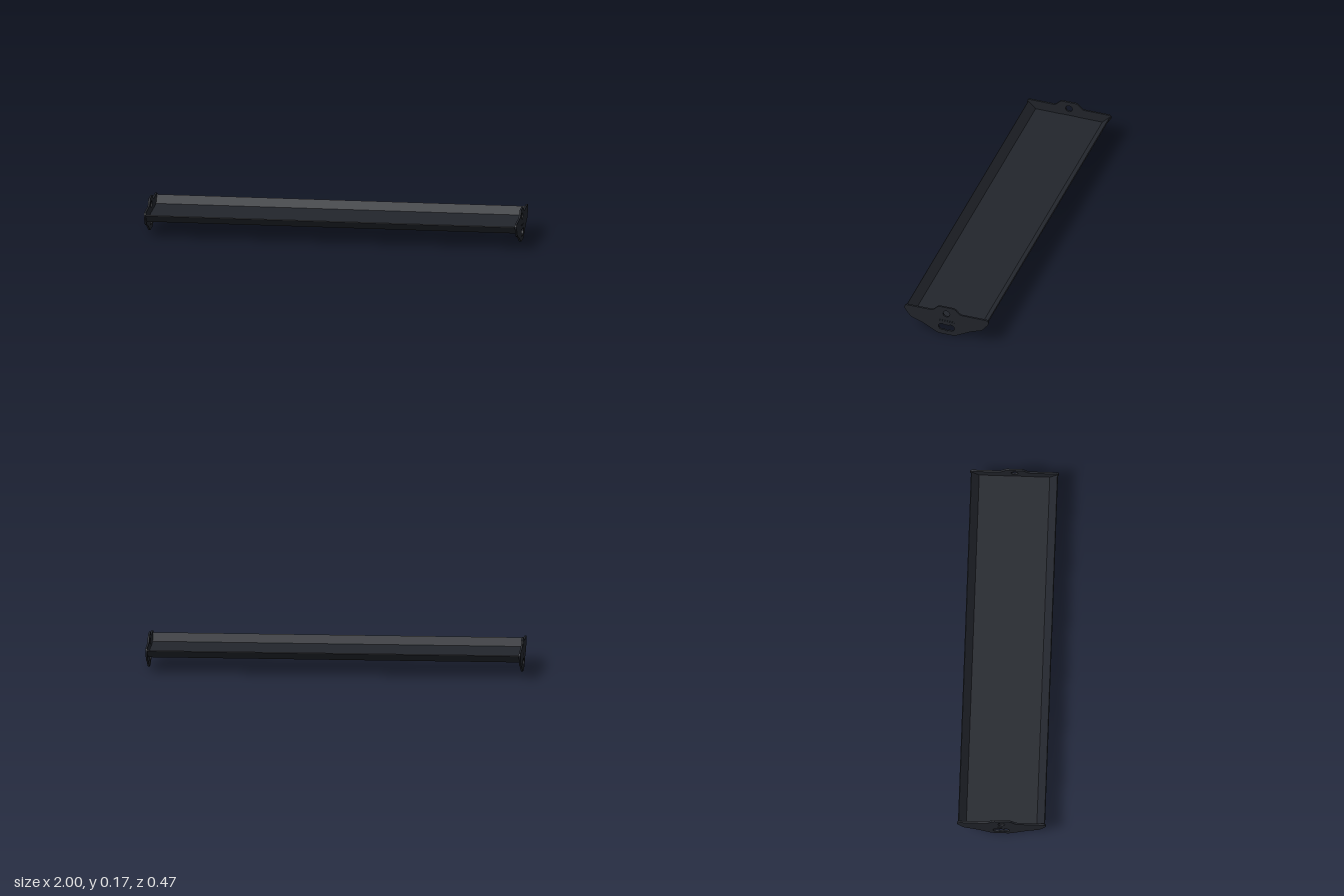
import * as THREE from 'three';
import { toCreasedNormals } from 'three/addons/utils/BufferGeometryUtils.js';

const material = new THREE.MeshStandardMaterial({ color: 0x22252c });
const PLATE = 0.01; // end plate thickness
const SHEET = { bottom: 0.0842, top: 0.0898 };

// Closed path through [z, y, cornerLength] points, each corner rounded off
function roundedOutline(points) {
  const shape = new THREE.Shape();
  const n = points.length;
  points.forEach(([x, y, r], i) => {
    const p = new THREE.Vector2(x, y);
    const toward = ([a, b]) => new THREE.Vector2(a - x, b - y).setLength(r).add(p);
    const start = toward(points[(i + n - 1) % n]);
    const end = toward(points[(i + 1) % n]);
    if (i === 0) shape.moveTo(start.x, start.y);
    else shape.lineTo(start.x, start.y);
    shape.quadraticCurveTo(x, y, end.x, end.y);
  });
  shape.closePath();
  return shape;
}

function polygon(points, Type = THREE.Shape) {
  return new Type(points.map(([x, y]) => new THREE.Vector2(x, y)));
}

// Extrudes a z-y profile along x, centred on x = 0
function extrudeAlongX(shape, length) {
  const geometry = new THREE.ExtrudeGeometry(shape, {
    depth: length, bevelEnabled: false, curveSegments: 14,
  });
  geometry.translate(0, 0, -length / 2).rotateY(Math.PI / 2);
  return toCreasedNormals(geometry, 0.5);
}

// Three overlapping round holes merged into one opening
function tripleHole() {
  const r = 0.0195, dx = 0.025, ySide = 0.046, yMid = 0.043;
  const tilt = Math.atan2(ySide - yMid, dx);
  const half = Math.acos(Math.hypot(dx, ySide - yMid) / 2 / r);
  const path = new THREE.Path();
  path.absarc(dx, ySide, r, tilt - Math.PI + half, tilt + Math.PI - half, false);
  path.absarc(0, yMid, r, tilt + half, Math.PI - tilt - half, false);
  path.absarc(-dx, ySide, r, -tilt + half, 2 * Math.PI - tilt - half, false);
  path.absarc(0, yMid, r, Math.PI - tilt + half, 2 * Math.PI + tilt - half, false);
  path.closePath();
  return path;
}

function endPlateGeometry() {
  const side = [
    [0.046, 0.174, 0.012],
    [0.077, 0.142, 0.010],
    [0.236, 0.142, 0.017],
    [0.237, 0.119, 0.011],
    [0.201, 0.071, 0.016],
    [0.139, 0.050, 0.020],
    [0.046, 0.001, 0.017],
  ];
  const mirrored = side.map(([z, y, r]) => [-z, y, r]).reverse();
  const shape = roundedOutline([...side, ...mirrored]);
  const bolt = new THREE.Path();
  bolt.absarc(0, 0.133, 0.019, 0, Math.PI * 2);
  const slot = polygon([[-0.046, 0.083], [0.046, 0.083], [0.046, 0.091], [-0.046, 0.091]], THREE.Path);
  shape.holes.push(bolt, tripleHole(), slot);
  return extrudeAlongX(shape, PLATE);
}

// Folded sheet: flat floor with both long edges bent up at 45 degrees
function trayGeometry() {
  const { bottom, top } = SHEET;
  const side = [
    [0.190, bottom],
    [0.232, bottom + 0.042],
    [0.228, bottom + 0.046],
    [0.1877, top],
  ];
  const mirrored = side.map(([z, y]) => [-z, y]).reverse();
  return extrudeAlongX(polygon([...side, ...mirrored]), 2 - 2 * PLATE);
}

export function createModel() {
  const group = new THREE.Group();
  group.name = 'tray';
  const add = (name, geometry, x = 0, y = 0) => {
    const mesh = new THREE.Mesh(geometry, material);
    mesh.name = name;
    mesh.position.set(x, y, 0);
    group.add(mesh);
  };

  add('foldedSheet', trayGeometry());

  // End plates, with the sheet's tabs passing through their slots
  const plate = endPlateGeometry();
  const tab = new THREE.BoxGeometry(PLATE, SHEET.top - SHEET.bottom, 0.092);
  for (const [label, sign] of [['left', 1], ['right', -1]]) {
    const x = sign * (1 - PLATE / 2);
    add(label + 'EndPlate', plate, x);
    add(label + 'Tab', tab, x, (SHEET.top + SHEET.bottom) / 2);
  }
  return group;
}
